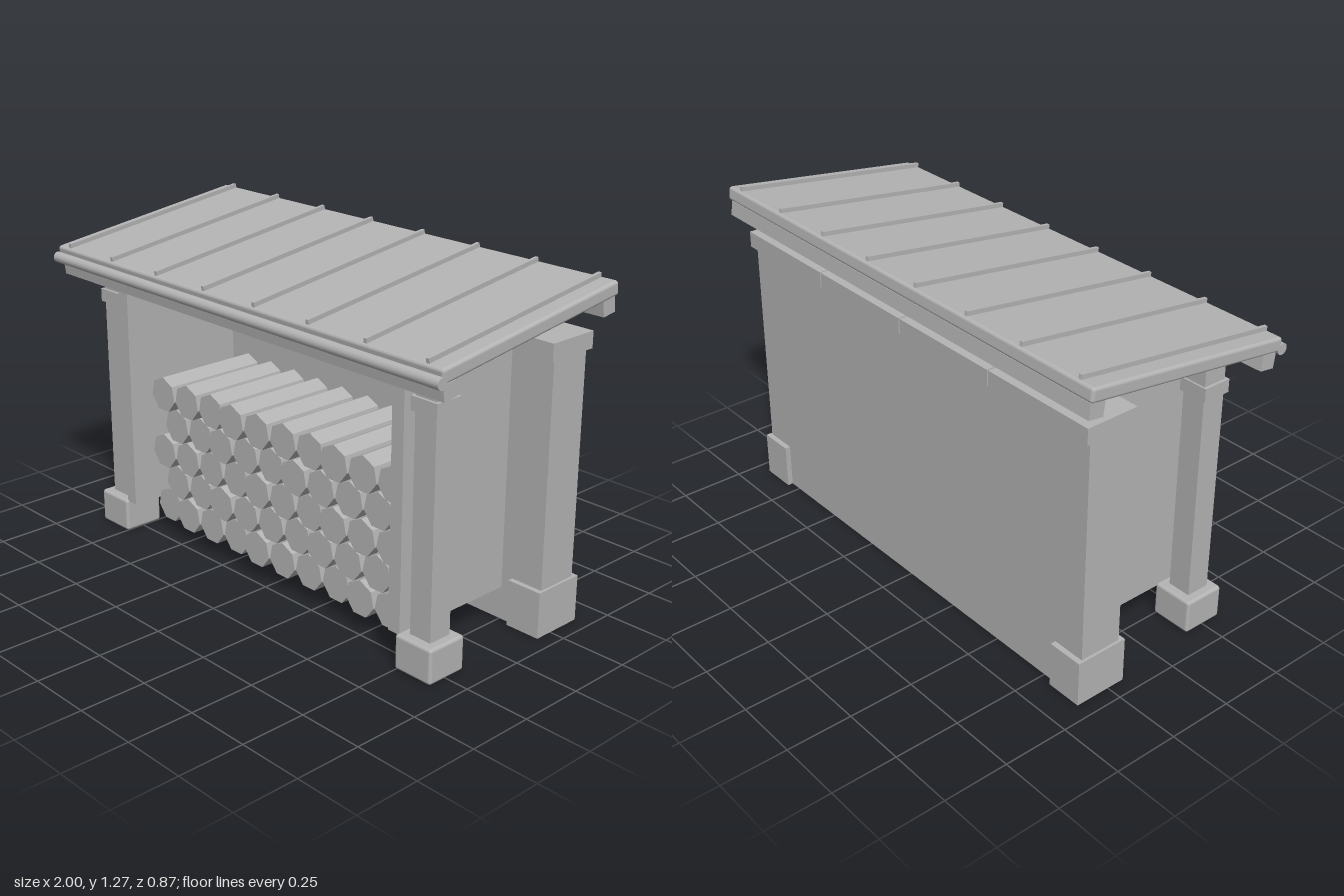
import * as THREE from 'three';
import { RoundedBoxGeometry } from 'three/addons/geometries/RoundedBoxGeometry.js';

export function createModel() {
  const model = new THREE.Group();
  model.name = 'woodShed';
  const grey = new THREE.MeshStandardMaterial({ color: 0xb4b4b4 });
  grey.name = 'plain grey';

  const add = (name, geometry, x, y, z, parent = model) => {
    const mesh = new THREE.Mesh(geometry, grey);
    mesh.name = name;
    mesh.position.set(x, y, z);
    parent.add(mesh);
    return mesh;
  };
  // Box given by its extents along each axis
  const box = (name, [x0, x1], [y0, y1], [z0, z1], radius = 0) => {
    const size = [x1 - x0, y1 - y0, z1 - z0];
    const geometry = radius ? new RoundedBoxGeometry(...size, 3, radius) : new THREE.BoxGeometry(...size);
    return add(name, geometry, (x0 + x1) / 2, (y0 + y1) / 2, (z0 + z1) / 2);
  };

  // Back wall with a four-piece coping
  box('backWall', [-0.93, 0.93], [0, 1.013], [-0.367, -0.2]);
  for (let i = 0; i < 4; i++) {
    const x = -0.94 + i * 0.47;
    box('copingStone', [x + (i ? 0.003 : 0), x + 0.47 - (i < 3 ? 0.003 : 0)], [1.015, 1.077], [-0.388, -0.18]);
  }

  // Mirrored supports and side panels
  for (const s of [-1, 1]) {
    const span = (a, b) => (s > 0 ? [a, b] : [-b, -a]);
    const side = s > 0 ? 'left' : 'right';
    box(side + 'CornerBlock', span(0.8, 0.94), [0, 0.175], [-0.388, -0.18]);
    box(side + 'SidePanel', span(0.7, 0.753), [0.125, 1.006], [-0.2, 0.317]);
    box(side + 'FootStone', span(0.743, 0.907), [0, 0.132], [0.165, 0.33], 0.012);
    box(side + 'FrontPost', span(0.779, 0.871), [0.13, 1.05], [0.2, 0.294]);
    box(side + 'PostCollar', span(0.768, 0.882), [0.925, 0.975], [0.193, 0.305]);
  }

  // Stacked seven-sided logs, alternate rows offset by half a log
  const flatLog = new THREE.CylinderGeometry(0.07, 0.07, 0.435, 7).toNonIndexed();
  flatLog.rotateX(Math.PI / 2);
  // A corner points straight up and a flat side rests below
  flatLog.rotateZ(Math.PI);
  flatLog.computeVertexNormals();
  const pitch = 0.1357;
  for (let row = 0; row < 5; row++) {
    const count = row % 2 ? 9 : 10;
    for (let i = 0; i < count; i++) {
      const x = 0.005 + (i - (count - 1) / 2) * pitch;
      const shift = ((i * 5 + row * 3) % 7 - 3) * 0.003;
      add('log', flatLog, x, 0.128 + row * 0.1165, 0.01 + shift);
    }
  }

  // Sloping roof with standing ribs
  const slope = 0.135;
  const roof = new THREE.Group();
  roof.name = 'roof';
  roof.position.set(0, 1.172, -0.011);
  roof.rotation.x = slope;
  model.add(roof);
  add('roofSlab', new RoundedBoxGeometry(2, 0.053, 0.85, 3, 0.012), 0, 0, 0, roof);
  const rib = new THREE.BoxGeometry(0.013, 0.024, 0.83);
  for (let i = 0; i < 8; i++) add('roofRib', rib, -0.93 + i * 0.2655, 0.031, 0, roof);

  // Gutter and the two beams under the eaves
  const gutter = new THREE.CylinderGeometry(0.021, 0.021, 2, 20);
  gutter.rotateZ(Math.PI / 2);
  add('frontGutter', gutter, 0, 1.097, 0.414);
  const beam = new THREE.BoxGeometry(1.975, 0.056, 0.06);
  add('frontBeam', beam, 0, 1.061, 0.365).rotation.x = slope;
  add('backBeam', beam, 0, 1.167, -0.4).rotation.x = slope;

  return model;
}
